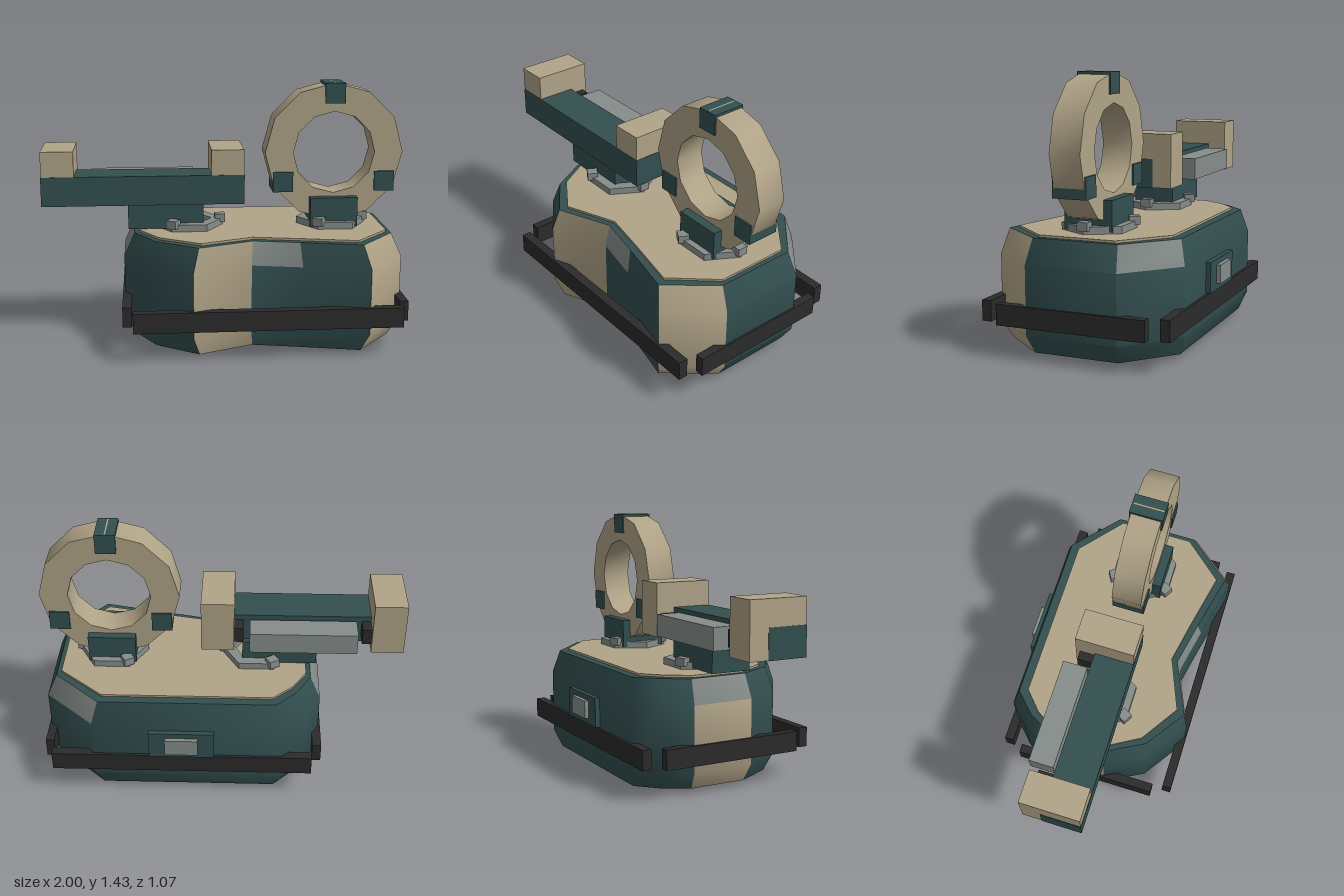
import * as THREE from 'three';
import { toCreasedNormals } from 'three/addons/utils/BufferGeometryUtils.js';

const mat = (name, color) => {
  const m = new THREE.MeshStandardMaterial({ color });
  m.name = name;
  return m;
};

export function createModel() {
  const model = new THREE.Group();
  const teal = mat('dark teal', 0x334f50);
  const tan = mat('tan', 0xb0a387);
  const grey = mat('grey', 0x868d8a);
  const black = mat('black', 0x2b2b2b);

  const add = (name, geo, material, parent = model) => {
    const mesh = new THREE.Mesh(geo, material);
    mesh.name = name;
    parent.add(mesh);
    return mesh;
  };
  // box given by its limits on each axis
  const box = (name, material, [x0, x1], [y0, y1], [z0, z1], parent) => {
    const geo = new THREE.BoxGeometry(x1 - x0, y1 - y0, z1 - z0);
    geo.translate((x0 + x1) / 2, (y0 + y1) / 2, (z0 + z1) / 2);
    return add(name, geo, material, parent);
  };

  // hull plan, running along the front first
  const CX = 0.21, CZ = 0.02;
  const plan = [
    [-0.19, 0.52], [0.13, 0.385], [0.4, 0.44], [0.755, 0.52], [0.975, 0.255], [0.975, -0.24],
    [0.7, -0.485], [-0.345, -0.485], [-0.465, -0.37], [-0.555, -0.22], [-0.555, 0.13], [-0.435, 0.35],
  ];
  const scaled = (sx, sz) => plan.map(([x, z]) => [CX + (x - CX) * sx, CZ + (z - CZ) * sz]);

  // hull wall: chamfered bands, coloured by plan edge
  const levels = [[0.03, 0.92, 0.925], [0.13, 1, 1], [0.49, 1, 1], [0.62, 0.925, 0.935]];
  const rings = levels.map(([y, sx, sz]) => scaled(sx, sz).map(([x, z]) => [x, y, z]));
  const tanEdges = [0, 3, 9], greyTops = [1, 5, 9];
  const faces = [[], [], []];
  for (let k = 0; k < 3; k++) {
    plan.forEach((_, i) => {
      const j = (i + 1) % plan.length;
      const a = rings[k][i], b = rings[k][j], c = rings[k + 1][j], d = rings[k + 1][i];
      const slot = k === 2 && greyTops.includes(i) ? 2 : tanEdges.includes(i) ? 1 : 0;
      faces[slot].push(...a, ...b, ...c, ...a, ...c, ...d);
    });
  }
  const wall = new THREE.BufferGeometry();
  wall.setAttribute('position', new THREE.Float32BufferAttribute(faces.flat(), 3));
  let start = 0;
  faces.forEach((f, i) => {
    wall.addGroup(start, f.length / 3, i);
    start += f.length / 3;
  });
  wall.computeVertexNormals();
  add('hull', toCreasedNormals(wall, 0.85), [teal, tan, grey]);

  // flat slabs that follow the hull plan
  const slab = (name, material, sx, sz, y, h) => {
    const shape = new THREE.Shape(scaled(sx, sz).map(([x, z]) => new THREE.Vector2(x, -z)));
    const geo = new THREE.ExtrudeGeometry(shape, { depth: h, bevelEnabled: false });
    geo.rotateX(-Math.PI / 2).translate(0, y, 0);
    add(name, geo, material);
  };
  slab('hullTop', teal, 0.925, 0.935, 0.61, 0.01);
  slab('hullBottom', teal, 0.92, 0.925, 0.03, 0.01);
  slab('deck', tan, 0.892, 0.84, 0.615, 0.017);
  slab('bellyPlate', black, 0.745, 0.7, 0.02, 0.015);

  // bumper rails round the hull
  const railY = [0.17, 0.28];
  box('frontBumper', black, [-0.51, 0.935], railY, [0.478, 0.53]);
  box('backBumper', black, [-0.51, 0.935], railY, [-0.5, -0.448]);
  box('leftBumper', black, [0.937, 0.985], railY, [-0.39, 0.42]);
  box('rightBumper', black, [-0.567, -0.517], railY, [-0.39, 0.42]);

  // rear hatch
  box('hatchFrame', teal, [0.03, 0.39], [0.285, 0.45], [-0.512, -0.46]);
  box('hatchPanel', grey, [0.12, 0.3], [0.32, 0.42], [-0.535, -0.5]);

  // ring with a polygon outline, lying in the xy plane
  const polygon = (Type, r, sides) => new Type(Array.from({ length: sides }, (_, i) => {
    const a = (i / sides) * Math.PI * 2;
    return new THREE.Vector2(r * Math.cos(a), r * Math.sin(a));
  }));
  const ringGeo = (outer, inner, sides, depth) => {
    const shape = polygon(THREE.Shape, outer, sides);
    shape.holes.push(polygon(THREE.Path, inner, sides));
    return new THREE.ExtrudeGeometry(shape, { depth, bevelEnabled: false });
  };

  // hexagonal feet
  for (const [x, z] of [[0.58, 0.16], [0.21, -0.23], [-0.16, 0.16]]) {
    const geo = ringGeo(0.14, 0.09, 6, 0.021).rotateX(-Math.PI / 2);
    add('foot', geo.translate(x, 0, z), grey);
  }

  // turntables: hexagonal ring with three lugs
  for (const x of [-0.195, 0.615]) {
    const table = new THREE.Group();
    table.name = 'turntable';
    table.position.set(x, 0.63, 0.015);
    model.add(table);
    add('turntableRing', ringGeo(0.195, 0.13, 6, 0.04).rotateX(-Math.PI / 2), grey, table);
    for (let i = 0; i < 3; i++) {
      const lug = new THREE.BoxGeometry(0.058, 0.045, 0.058).translate(0.178, 0.043, 0);
      add('lug', lug.rotateY((i * Math.PI * 2) / 3), grey, table);
    }
  }

  // long beam unit
  const beam = new THREE.Group();
  beam.name = 'beamUnit';
  model.add(beam);
  box('beamMount', teal, [-0.53, -0.115], [0.64, 0.78], [-0.1, 0.13], beam);
  box('beam', teal, [-1, 0.112], [0.778, 0.94], [-0.07, 0.153], beam);
  box('outerBlock', tan, [-0.998, -0.82], [0.78, 1.08], [-0.178, 0.151], beam);
  box('innerBlock', tan, [-0.07, 0.11], [0.78, 1.08], [-0.178, 0.151], beam);
  box('sideRail', grey, [-0.74, -0.155], [0.8, 0.92], [-0.222, -0.085], beam);
  box('outerSpacer', black, [-0.82, -0.77], [0.82, 0.91], [-0.155, -0.07], beam);
  box('innerSpacer', black, [-0.12, -0.07], [0.82, 0.91], [-0.155, -0.07], beam);

  // upright ring unit
  const hoop = new THREE.Group();
  hoop.name = 'ringUnit';
  model.add(hoop);
  const hoopGeo = toCreasedNormals(ringGeo(0.385, 0.228, 12, 0.166), 0.7);
  add('ring', hoopGeo.translate(0.615, 1.05, -0.067), tan, hoop);
  for (let i = 0; i < 3; i++) {
    const a = Math.PI / 2 + (i * Math.PI * 2) / 3;
    const geo = new THREE.BoxGeometry(0.112, 0.112, 0.184);
    geo.translate(0.615 + 0.328 * Math.cos(a), 1.05 + 0.328 * Math.sin(a), 0.016);
    add('ringClamp', geo, teal, hoop);
  }
  box('cradleFloor', teal, [0.48, 0.745], [0.665, 0.7], [-0.1, 0.13], hoop);
  box('cradleFront', teal, [0.48, 0.745], [0.64, 0.802], [0.1, 0.15], hoop);
  box('cradleBack', teal, [0.48, 0.745], [0.64, 0.802], [-0.115, -0.068], hoop);

  return model;
}
